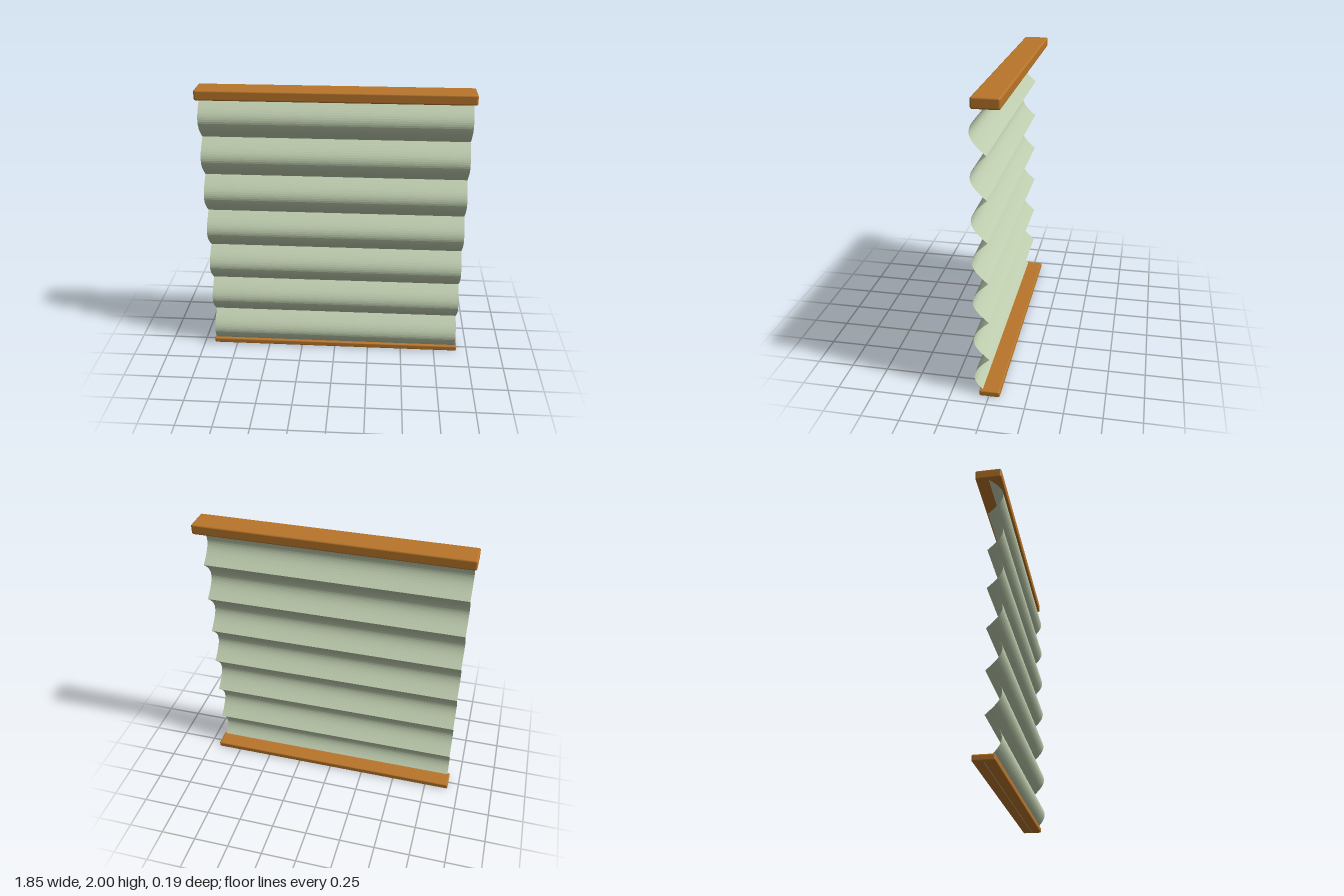
import * as THREE from 'three';
import { RoundedBoxGeometry } from 'three/addons/geometries/RoundedBoxGeometry.js';

const FOLDS = 7, STEPS = 20;
const TOP = 1.93, BOTTOM = 0.002;
const BACK = -0.006, SAG = 0.1;

export function createModel() {
  const group = new THREE.Group();
  group.name = 'romanBlind';

  const wood = new THREE.MeshStandardMaterial({ color: 0xb87529 });
  wood.name = 'warm wood';
  const cloth = new THREE.MeshStandardMaterial({ color: 0xbccaac, side: THREE.DoubleSide });
  cloth.name = 'sage cloth';

  // Wooden rails with softly rounded edges
  function rail(name, y0, y1, depth, radius) {
    const mesh = new THREE.Mesh(new RoundedBoxGeometry(1.845, y1 - y0, depth, 3, radius), wood);
    mesh.name = name;
    mesh.position.set(0, (y0 + y1) / 2, BACK);
    group.add(mesh);
  }
  rail('headRail', 1.93, 2, 0.175, 0.012);
  rail('bottomRail', 0.004, 0.045, 0.135, 0.01);

  // Thin cloth sheet: each fold bulges forward and meets the next in a sharp crease
  const sheet = new THREE.PlaneGeometry(1.81, TOP - BOTTOM, 1, FOLDS * STEPS);
  const pos = sheet.attributes.position;
  for (let i = 0; i < pos.count; i++) {
    const row = Math.floor(i / 2);
    const t = (row % STEPS) / STEPS;
    pos.setY(i, TOP - (TOP - BOTTOM) * row / (FOLDS * STEPS));
    pos.setZ(i, BACK + SAG * Math.sin(Math.PI * t));
  }
  const faceted = sheet.toNonIndexed();
  faceted.computeVertexNormals();
  const fabric = new THREE.Mesh(faceted, cloth);
  fabric.name = 'foldedFabric';
  group.add(fabric);

  return group;
}
